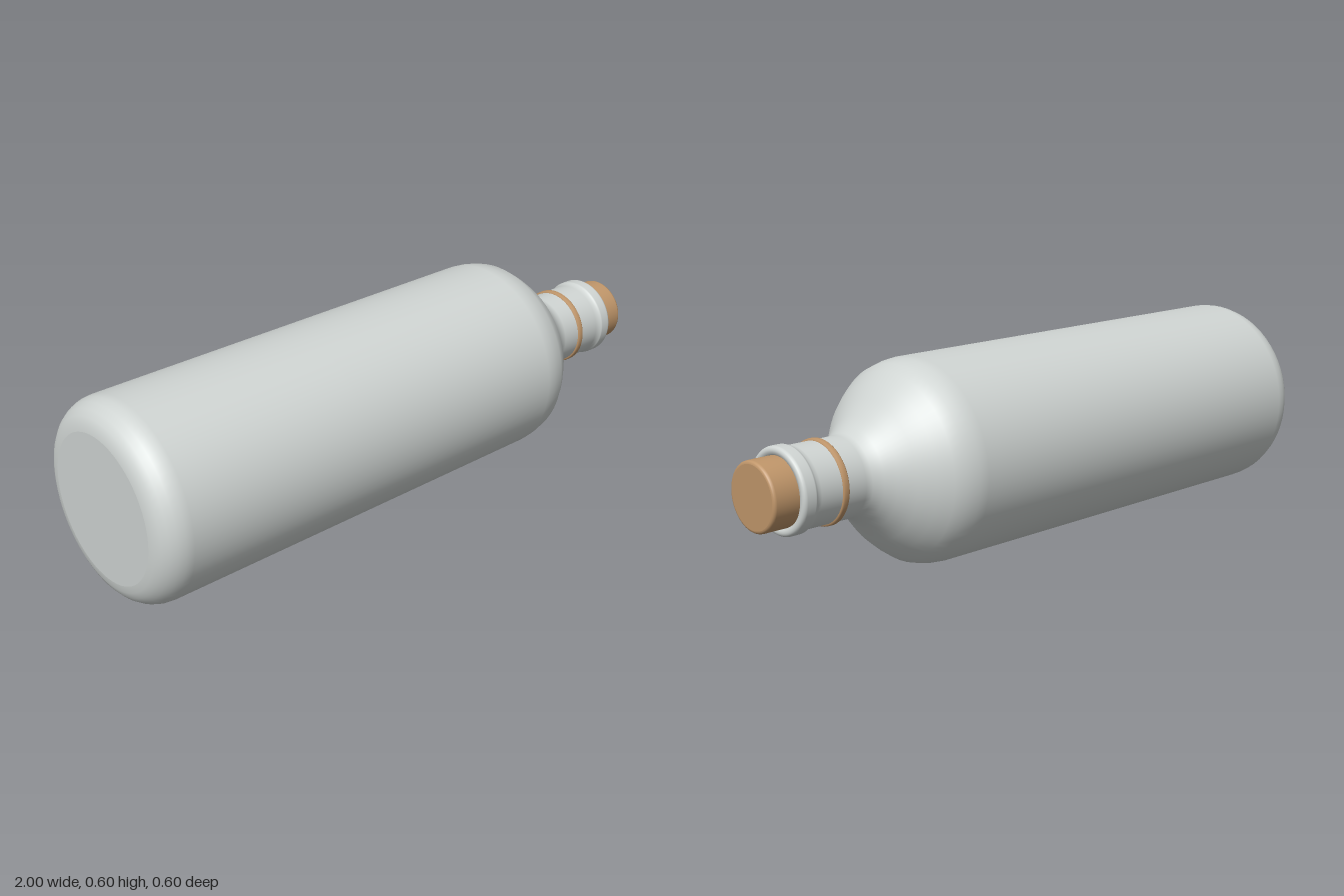
import * as THREE from 'three';

const glaze = new THREE.MeshStandardMaterial({ color: 0xcfd4d2 });
glaze.name = 'greyStoneware';
const corkMat = new THREE.MeshStandardMaterial({ color: 0xc0966a });
corkMat.name = 'cork';

// Spin a profile of [radius, height along the bottle] around the long axis
function turned(name, profile, material) {
  const points = profile.map(([r, h]) => new THREE.Vector2(r, h));
  const mesh = new THREE.Mesh(new THREE.LatheGeometry(points, 64), material);
  mesh.name = name;
  return mesh;
}

// Quarter-round corner from angle a to b around a centre
function arc(cr, ch, rr, rh, a, b, steps = 6) {
  return Array.from({ length: steps + 1 }, (_, i) => {
    const t = a + (b - a) * i / steps;
    return [cr + rr * Math.cos(t), ch + rh * Math.sin(t)];
  });
}

export function createModel() {
  const bottle = new THREE.Group();
  bottle.name = 'bottle';
  const q = Math.PI / 2;

  // Body with rounded base, sloping shoulder, neck and lip; the repeated point keeps the base edge crisp
  bottle.add(turned('bottleBody', [
    [0, -1], [0.22, -1],
    ...arc(0.22, -0.91, 0.08, 0.09, -q, 0),
    [0.3, -0.3], [0.3, 0.43], [0.297, 0.46], [0.287, 0.5], [0.268, 0.528],
    [0.238, 0.565], [0.2, 0.6], [0.16, 0.636], [0.136, 0.664], [0.119, 0.69],
    [0.116, 0.71], [0.116, 0.86], [0.118, 0.872],
    ...arc(0.112, 0.884, 0.0115, 0.01, -0.6, 0, 3),
    ...arc(0.112, 0.91, 0.0115, 0.012, 0, q, 4),
    [0.104, 0.922], [0.098, 0.915], [0.097, 0.88],
  ], glaze));

  // Thin ring around the neck
  bottle.add(turned('neckBand', [
    [0.114, 0.77], [0.119, 0.77], [0.122, 0.774], [0.122, 0.786], [0.119, 0.79], [0.114, 0.79],
  ], corkMat));

  // Stopper with softened rim
  bottle.add(turned('corkStopper', [
    [0, 0.86], [0.095, 0.86], [0.095, 0.86], [0.099, 0.92],
    ...arc(0.09, 0.99, 0.009, 0.01, 0, q, 4),
    [0.09, 1], [0, 1],
  ], corkMat));

  // Lay the bottle on its side with the stopper towards +x
  bottle.rotation.z = -q;
  bottle.position.y = 0.3;

  const model = new THREE.Group();
  model.name = 'lyingBottle';
  model.add(bottle);
  return model;
}
